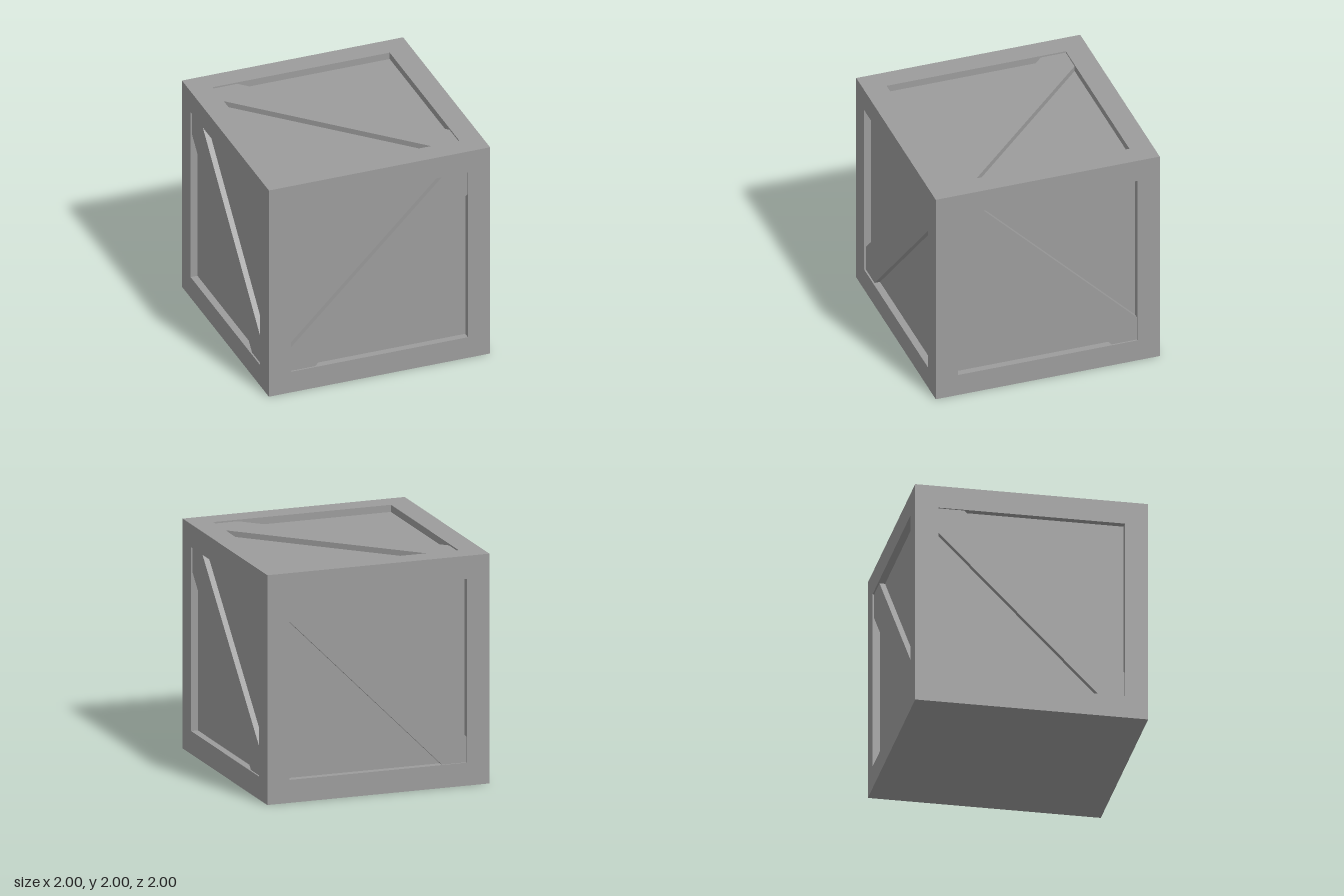
import * as THREE from 'three';

const BEAM = 0.2;        // thickness of the frame beams
const INNER = 0.8;       // half width of each framed opening
const RECESS = 0.062;    // depth of the panels behind the frame
const INSET = 0.014;     // depth of the braces behind the frame
const CUT = 0.577;       // where the brace edges meet the opening

export function createModel() {
  const crate = new THREE.Group();
  crate.name = 'crate';
  const material = new THREE.MeshStandardMaterial({ color: 0x9c9c9c, flatShading: true });

  const addBox = (name, size, position) => {
    const mesh = new THREE.Mesh(new THREE.BoxGeometry(...size), material);
    mesh.name = name;
    mesh.position.set(...position);
    crate.add(mesh);
  };

  // Frame: four posts, with beams between them at top and bottom
  const mid = 1 - BEAM / 2;
  for (const a of [-mid, mid]) {
    for (const b of [-mid, mid]) {
      addBox('cornerPost', [BEAM, 2, BEAM], [a, 1, b]);
      addBox('crossBeam', [2 * INNER, BEAM, BEAM], [0, 1 + a, b]);
      addBox('sideBeam', [BEAM, BEAM, 2 * INNER], [b, 1 + a, 0]);
    }
  }

  // Recessed panels as one inner box, and a flush floor
  const width = 2 - 2 * RECESS;
  const floorTop = 0.1;
  const height = 2 - RECESS - floorTop;
  addBox('panels', [width, height, width], [0, floorTop + height / 2, 0]);
  addBox('floor', [2 * INNER, 0.15, 2 * INNER], [0, 0.075, 0]);

  // Diagonal brace whose pointed ends fill the corners of an opening
  const outline = new THREE.Shape([
    [-INNER, -INNER], [-CUT, -INNER], [INNER, CUT],
    [INNER, INNER], [CUT, INNER], [-INNER, -CUT],
  ].map(([x, y]) => new THREE.Vector2(x, y)));
  const braceGeometry = new THREE.ExtrudeGeometry(outline, {
    depth: RECESS - INSET + 0.01, bevelEnabled: false,
  });

  // One brace per face, none underneath: [name, pitch, yaw, turn in the face]
  const quarter = Math.PI / 2;
  const braces = [
    ['frontBrace', 0, 0, 0],
    ['backBrace', 0, Math.PI, quarter],
    ['leftBrace', 0, quarter, quarter],
    ['rightBrace', 0, -quarter, quarter],
    ['topBrace', -quarter, 0, quarter],
  ];
  for (const [name, pitch, yaw, turn] of braces) {
    const face = new THREE.Group();
    face.name = name;
    face.position.y = 1;
    face.rotation.set(pitch, yaw, 0);
    const brace = new THREE.Mesh(braceGeometry, material);
    brace.name = name + 'Plank';
    brace.position.z = 1 - RECESS - 0.01;
    brace.rotation.z = turn;
    face.add(brace);
    crate.add(face);
  }

  return crate;
}
